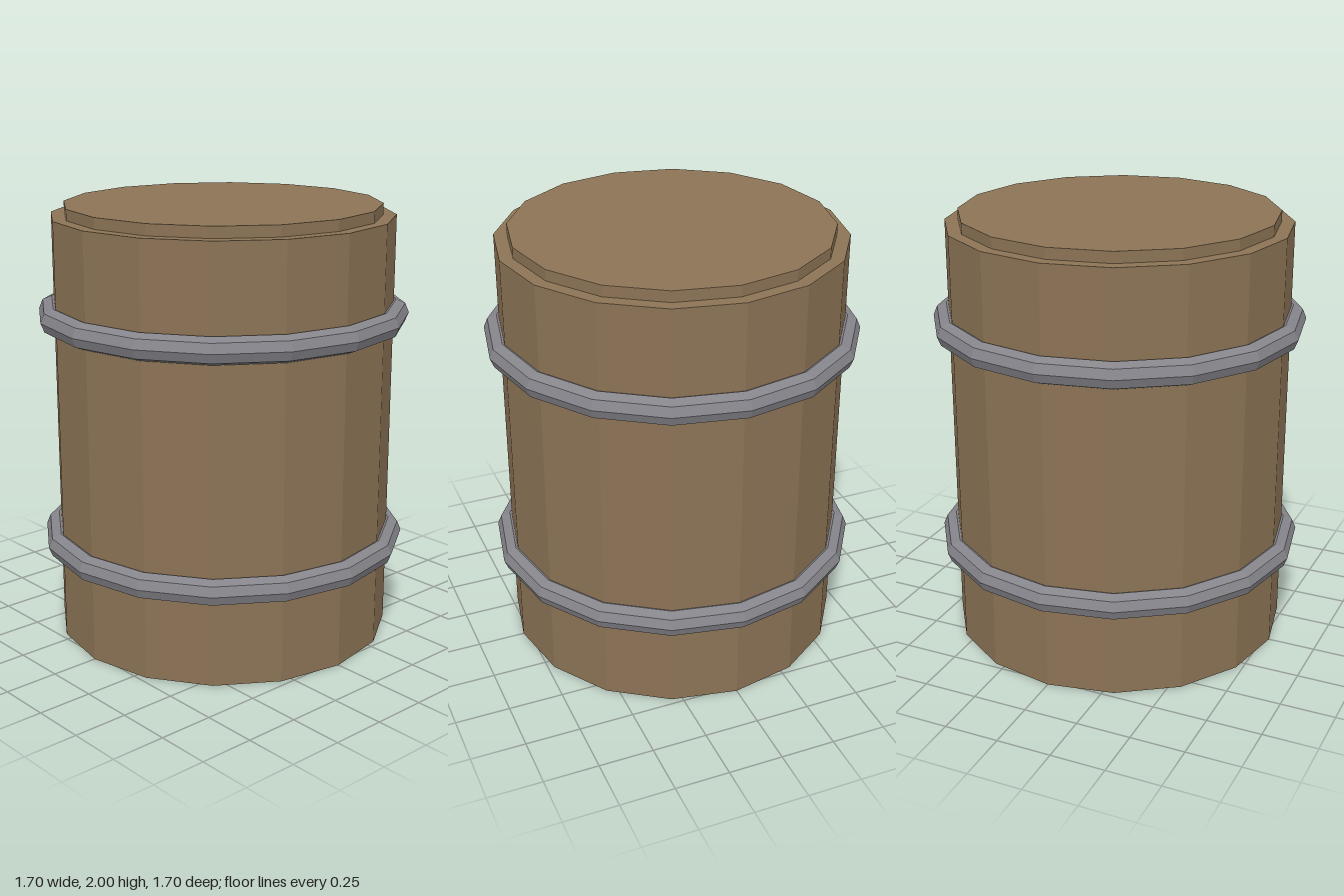
import * as THREE from 'three';

const SIDES = 16;

export function createModel() {
  const barrel = new THREE.Group();
  barrel.name = 'barrel';

  const wood = new THREE.MeshStandardMaterial({ color: 0x8b7355, flatShading: true });
  const metal = new THREE.MeshStandardMaterial({ color: 0x85858b, flatShading: true });

  function add(name, geometry, material, y) {
    const mesh = new THREE.Mesh(geometry, material);
    mesh.name = name;
    mesh.position.y = y;
    barrel.add(mesh);
  }

  // Wooden drum and the raised lid on top of it
  add('body', new THREE.CylinderGeometry(0.78, 0.78, 1.95, SIDES), wood, 0.975);
  add('lid', new THREE.CylinderGeometry(0.72, 0.72, 0.05, SIDES), wood, 1.975);

  // Metal hoops, half sunk into the drum
  const hoop = new THREE.TorusGeometry(0.79, 0.06, 8, SIDES).rotateX(Math.PI / 2);
  add('lowerHoop', hoop, metal, 0.446);
  add('upperHoop', hoop, metal, 1.504);

  return barrel;
}
